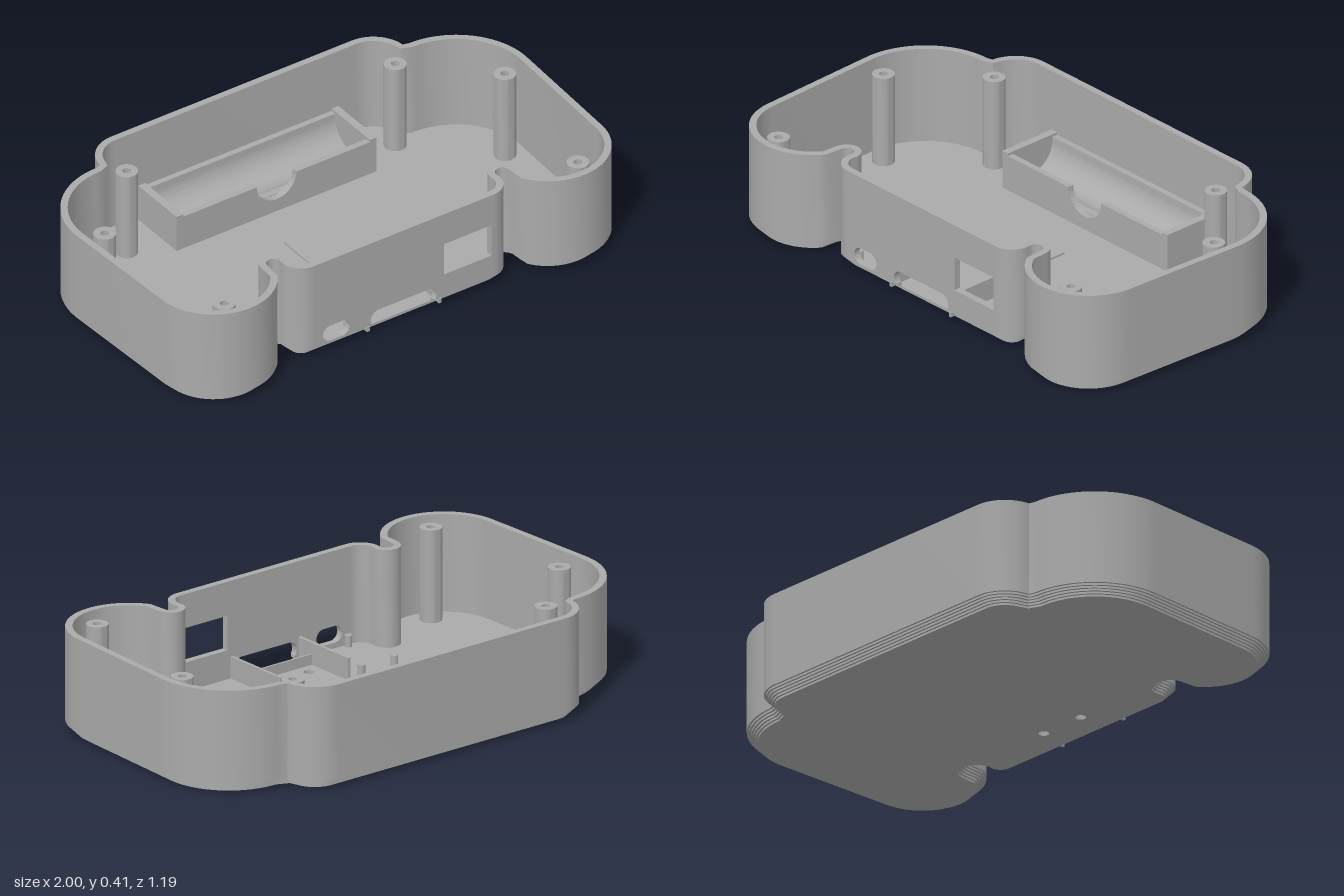
import * as THREE from 'three';
import { toCreasedNormals } from 'three/addons/utils/BufferGeometryUtils.js';

const WALL = 0.027, FLOOR = 0.024, CHAMFER = 0.04, RIM = 0.405, FRONT = 0.503;

export function createModel() {
  const model = new THREE.Group();
  const grey = new THREE.MeshStandardMaterial({ color: 0xaaaaaa });
  grey.name = 'plain grey';

  const add = (name, geometry, x = 0, y = 0, z = 0, parent = model) => {
    const mesh = new THREE.Mesh(geometry, grey);
    mesh.name = name;
    mesh.position.set(x, y, z);
    parent.add(mesh);
    return mesh;
  };
  // box given by its extents
  const block = (name, x0, x1, y0, y1, z0, z1, parent) =>
    add(name, new THREE.BoxGeometry(x1 - x0, y1 - y0, z1 - z0),
      (x0 + x1) / 2, (y0 + y1) / 2, (z0 + z1) / 2, parent);
  const extrude = (shape, depth) => toCreasedNormals(
    new THREE.ExtrudeGeometry(shape, { depth, bevelEnabled: false, curveSegments: 20 }), 0.6);
  // plan shape (x, -z) raised from y0 to y1
  const slab = (name, shape, y0, y1) =>
    add(name, extrude(shape, y1 - y0).rotateX(-Math.PI / 2), 0, y0, 0);

  // plan arc in degrees, z counted towards the front
  const arc = (cx, cz, r, a0, a1, n) => Array.from({ length: n + 1 }, (_, i) => {
    const a = THREE.MathUtils.degToRad(a0 + (a1 - a0) * i / n);
    return new THREE.Vector2(cx + r * Math.cos(a), -(cz + r * Math.sin(a)));
  });
  // outline of the left half, from the front round to the back
  const halfOutline = [
    ...arc(0.4, 0.42, 0.083, 90, 0, 10),       // front corner
    ...arc(0.509, 0.403, 0.028, 180, 360, 10), // notch
    ...arc(0.743, 0.355, 0.234, 149, 3, 26),   // grip lobe
    ...arc(0.695, -0.16, 0.305, 4, -90, 22),   // shoulder lobe
    ...arc(0.535, -0.46, 0.138, -5, -90, 14),  // back corner
  ];
  // inset outline, left open between x = -gap and x = gap at the front
  const outline = (inset, gap) => {
    const half = gap < 0.399
      ? [new THREE.Vector2(gap, -FRONT), ...halfOutline] : halfOutline;
    const pts = [...half, ...half.map(p => new THREE.Vector2(-p.x, p.y)).reverse()];
    return pts.map((p, i) => {
      const d0 = p.clone().sub(pts[Math.max(i - 1, 0)]).normalize();
      const d1 = pts[Math.min(i + 1, pts.length - 1)].clone().sub(p).normalize();
      const d = d0.add(d1).normalize();
      return new THREE.Vector2(p.x - d.y * inset, p.y + d.x * inset);
    });
  };
  const openRing = (inset, gap) =>
    new THREE.Shape([...outline(inset, gap), ...outline(WALL, gap).reverse()]);

  // stepped base: solid floor layers, then wall layers broken at the card slot
  const step = CHAMFER / 5;
  for (let i = 0; i < 5; i++) {
    const inset = CHAMFER - i * step;
    let shape;
    if (i < 3) {
      shape = new THREE.Shape(outline(inset, 0.2));
      for (const x of [-0.098, 0.096]) {
        shape.holes.push(new THREE.Path().absarc(x, -0.345, 0.02, 0, Math.PI * 2, true));
      }
    } else {
      shape = openRing(inset, 0.135);
    }
    slab(i < 3 ? 'floorLayer' : 'lowerWallLayer', shape, i * step, (i + 1) * step);
  }
  slab('outerWall', openRing(0, 0.4), CHAMFER, RIM);

  // front panel with card slot, oval port and square opening
  const panel = new THREE.Shape();
  panel.moveTo(-0.4, CHAMFER);
  panel.lineTo(-0.14, CHAMFER);
  panel.absarc(-0.111, 0.061, 0.036, Math.PI * 1.2, Math.PI / 2, true);
  panel.absarc(0.111, 0.061, 0.036, Math.PI / 2, -Math.PI * 0.2, true);
  panel.lineTo(0.4, CHAMFER);
  panel.lineTo(0.4, RIM);
  panel.lineTo(-0.4, RIM);
  panel.closePath();
  const port = new THREE.Path();
  port.absarc(-0.327, 0.078, 0.033, Math.PI / 2, Math.PI * 1.5, false);
  port.absarc(-0.273, 0.078, 0.033, -Math.PI / 2, Math.PI / 2, false);
  port.closePath();
  const opening = new THREE.Path([[0.18, 0.137], [0.39, 0.137], [0.39, 0.272], [0.18, 0.272]]
    .map(p => new THREE.Vector2(...p)));
  panel.holes.push(port, opening);
  add('frontPanel', extrude(panel, WALL), 0, 0, FRONT - WALL);

  // hollow screw posts
  const postProfile = [[0.042, FLOOR], [0.042, 0.385], [0.016, 0.385], [0.016, 0.285], [0, 0.285]]
    .map(p => new THREE.Vector2(...p));
  for (const side of [-1, 1]) {
    for (const [x, z] of [[0.597, -0.41], [0.89, -0.13], [0.787, 0.485]]) {
      add('screwPost', toCreasedNormals(new THREE.LatheGeometry(postProfile, 28), 0.6), side * x, 0, z);
    }
    // card board guide rails
    block('guideRail', side * 0.16 - 0.006, side * 0.16 + 0.006, FLOOR, 0.11, 0.19, 0.48);
    block('railEnd', side * 0.16 - 0.006, side * 0.16 + 0.006, 0.02, 0.04, 0.46, 0.507);
  }
  block('guideStop', -0.16, 0.16, FLOOR, 0.065, 0.397, 0.405);

  // board locating pegs
  for (const x of [-0.377, -0.222]) {
    for (const z of [0.195, 0.46]) {
      add('boardPeg', new THREE.CylinderGeometry(0.014, 0.014, 0.045, 16), x, FLOOR + 0.0225, z);
    }
  }
  block('floorPad', -0.096, 0.091, FLOOR, 0.032, -0.125, 0.1);

  // battery holder: curved trough, end plates and notched front wall
  const holder = new THREE.Group();
  holder.name = 'batteryHolder';
  model.add(holder);
  const trough = (x0, x1, low) => {
    // profile drawn in (-z, y)
    const end = low ? -Math.PI * 0.75 : -Math.PI;
    const s = new THREE.Shape();
    s.moveTo(0.335, FLOOR);
    s.lineTo(0.555, FLOOR);
    s.lineTo(0.555, 0.165);
    s.lineTo(0.532, 0.165);
    s.absarc(0.433, 0.15, 0.098, 0, end, true);
    if (low) s.lineTo(0.335, 0.15 + 0.098 * Math.sin(end));
    s.closePath();
    add('trough', extrude(s, x1 - x0).rotateY(Math.PI / 2), x0, 0, 0, holder);
  };
  trough(-0.415, -0.09, false);
  trough(-0.09, 0.09, true);
  trough(0.09, 0.415, false);
  block('endPlate', -0.445, -0.415, FLOOR, 0.175, -0.555, -0.31, holder);
  block('endPlate', 0.415, 0.445, FLOOR, 0.175, -0.555, -0.31, holder);
  const front = new THREE.Shape();
  front.moveTo(-0.415, FLOOR);
  front.lineTo(0.415, FLOOR);
  front.lineTo(0.415, 0.165);
  front.absarc(0, 0.165, 0.088, 0, -Math.PI, true);
  front.lineTo(-0.415, 0.165);
  front.closePath();
  add('notchedWall', extrude(front, 0.025), 0, 0, -0.335, holder);

  return model;
}
